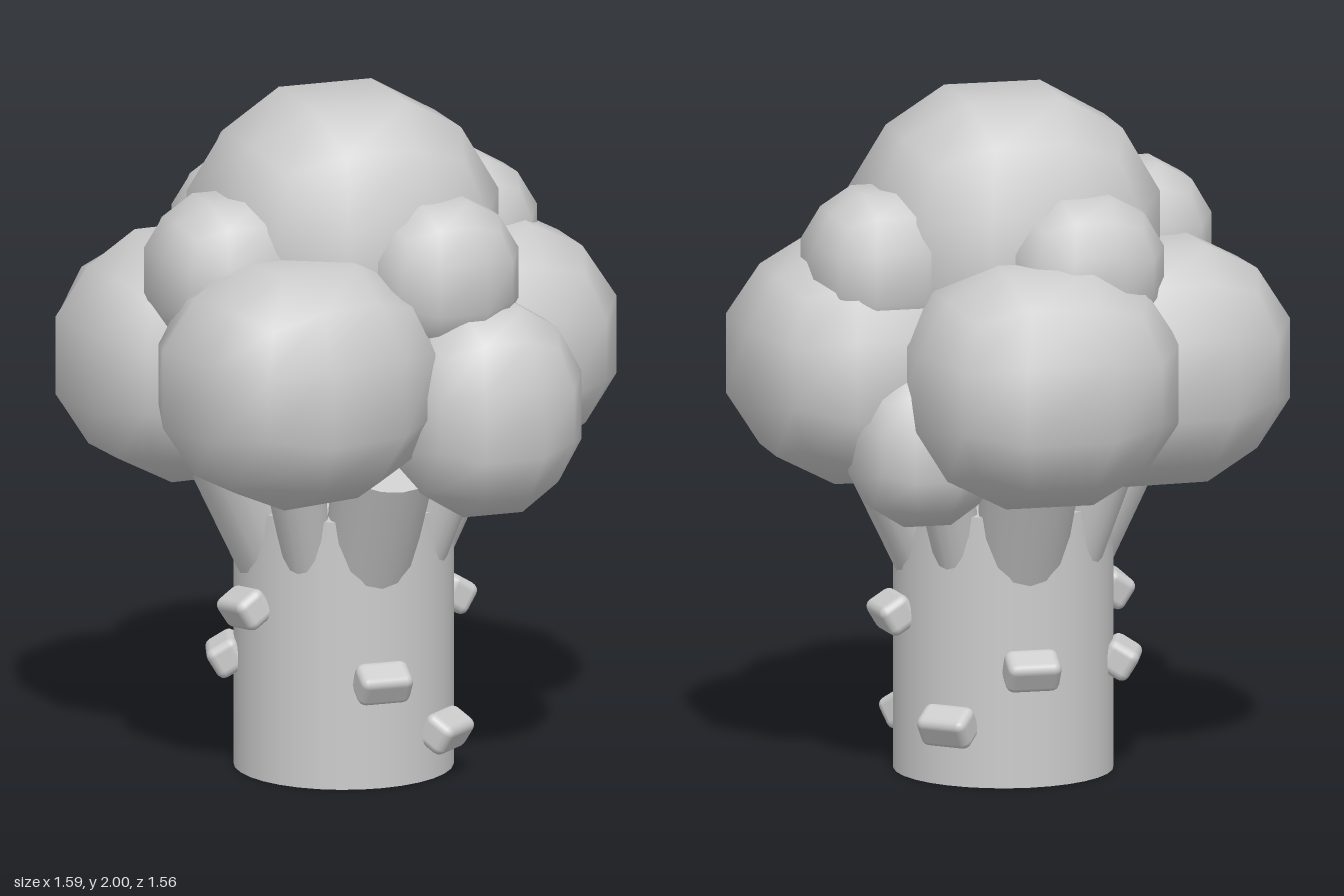
import * as THREE from 'three';
import { mergeVertices } from 'three/addons/utils/BufferGeometryUtils.js';
import { RoundedBoxGeometry } from 'three/addons/geometries/RoundedBoxGeometry.js';

const material = new THREE.MeshStandardMaterial({ color: 0xcccccc });
const TRUNK = { x: -0.01, z: 0.03, radius: 0.32, height: 0.8 };

// Low-poly ball: a 3x3 segmented cube pushed out to a sphere, scaled so its flats reach 1
function ballGeometry() {
  const box = new THREE.BoxGeometry(2, 2, 2, 3, 3, 3);
  box.deleteAttribute('uv');
  box.deleteAttribute('normal');
  const ball = mergeVertices(box);
  const p = ball.attributes.position;
  const v = new THREE.Vector3();
  for (let i = 0; i < p.count; i++) {
    v.fromBufferAttribute(p, i).normalize().multiplyScalar(1 / 0.905);
    p.setXYZ(i, v.x, v.y, v.z);
  }
  ball.computeVertexNormals();
  return ball;
}

function add(group, name, geometry) {
  const mesh = new THREE.Mesh(geometry, material);
  mesh.name = name;
  group.add(mesh);
  return mesh;
}

// Tapered stalk between two points
function addBranch(group, name, from, to, r0, r1) {
  const dir = to.clone().sub(from);
  const branch = add(group, name, new THREE.CylinderGeometry(r1, r0, dir.length(), 16));
  branch.position.copy(from).addScaledVector(dir, 0.5);
  branch.quaternion.setFromUnitVectors(new THREE.Vector3(0, 1, 0), dir.normalize());
}

// Point around the trunk axis; angle 0 faces the front and grows toward +x
function around(angle, radius, y) {
  return new THREE.Vector3(TRUNK.x + Math.sin(angle) * radius, y, TRUNK.z + Math.cos(angle) * radius);
}

export function createModel() {
  const model = new THREE.Group();
  model.name = 'floretTree';

  // Trunk
  const trunk = add(model, 'trunk', new THREE.CylinderGeometry(TRUNK.radius, TRUNK.radius, TRUNK.height, 32));
  trunk.position.set(TRUNK.x, TRUNK.height / 2, TRUNK.z);

  // Branches: wide ones on the four sides, slim ones on the diagonals
  for (let i = 0; i < 8; i++) {
    const angle = (i * Math.PI) / 4;
    const wide = i % 2 === 0;
    addBranch(model, wide ? 'mainBranch' : 'sideBranch',
      around(angle, wide ? 0.14 : 0.2, 0.5), around(angle, wide ? 0.34 : 0.36, 0.98),
      wide ? 0.12 : 0.06, wide ? 0.15 : 0.09);
  }

  // Florets: name, centre, radii, turn about y
  const ball = ballGeometry();
  const florets = [
    ['crownFloret', [-0.01, 1.57, 0.02], [0.43, 0.43, 0.43], 0],
    ['frontFloret', [-0.29, 1.26, 0.39], [0.39, 0.35, 0.365], 0.25],
    ['leftFloret', [0.4, 1.24, 0.02], [0.39, 0.35, 0.395], 0],
    ['rightFloret', [-0.41, 1.225, -0.15], [0.38, 0.35, 0.38], 0.08],
    ['backFloret', [-0.01, 1.225, -0.39], [0.39, 0.35, 0.39], 0],
    ['lowFrontFloret', [0.26, 1.145, 0.45], [0.275, 0.305, 0.275], 0],
    ['lowBackFloret', [0.31, 1.03, -0.27], [0.21, 0.23, 0.21], 0],
    ['upperFrontFloret', [0.155, 1.53, 0.36], [0.225, 0.225, 0.225], 0],
    ['upperLeftFloret', [0.385, 1.53, -0.1], [0.225, 0.225, 0.23], 0],
    ['upperBackFloret', [-0.155, 1.53, -0.315], [0.23, 0.225, 0.23], 0],
    ['upperRightFloret', [-0.415, 1.53, 0.135], [0.225, 0.225, 0.23], 0],
  ];
  for (const [name, centre, radii, turn] of florets) {
    const floret = add(model, name, ball);
    floret.position.set(...centre);
    floret.scale.set(...radii);
    floret.rotation.y = turn;
  }

  // Small rounded knobs on the trunk: angle, height, roll
  const knob = new RoundedBoxGeometry(0.16, 0.1, 0.1, 2, 0.025);
  const knobs = [
    [-0.02, 0.32, 0], [0.7, 0.14, 0], [1.65, 0.48, 0], [2.4, 0.18, 0],
    [3.14, 0.35, 0], [-1.9, 0.33, 0], [-1.36, 0.51, 0.15],
  ];
  for (const [angle, y, roll] of knobs) {
    const mesh = add(model, 'knob', knob);
    mesh.position.copy(around(angle, 0.34, y));
    mesh.rotation.set(0.55, angle, roll, 'YXZ');
  }

  return model;
}
